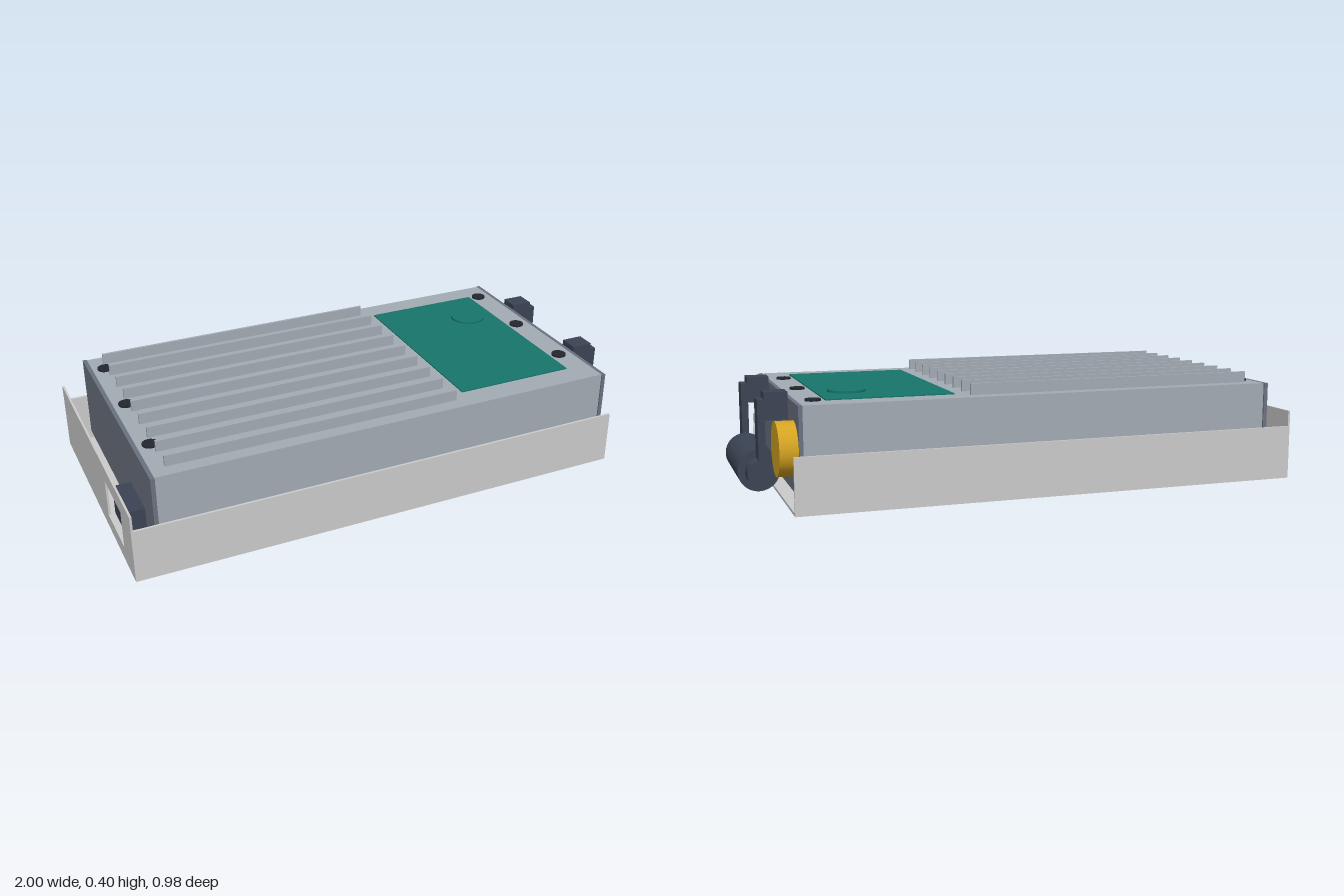
import * as THREE from 'three';

const mat = (color) => new THREE.MeshStandardMaterial({ color });

export function createModel() {
  const model = new THREE.Group();
  const trayMat = mat(0xcccccc), bodyMat = mat(0xa3abb4), plateMat = mat(0x6b7280);
  const darkMat = mat(0x3b4454), screwMat = mat(0x23272f);
  const greenMat = mat(0x17756b), goldMat = mat(0xd4a322);

  const add = (name, geometry, material, parent = model) => {
    const mesh = new THREE.Mesh(geometry, material);
    mesh.name = name;
    parent.add(mesh);
    return mesh;
  };
  // box given by its limits on each axis
  const box = (name, [x0, x1], [y0, y1], [z0, z1], material, parent) => {
    const m = add(name, new THREE.BoxGeometry(x1 - x0, y1 - y0, z1 - z0), material, parent);
    m.position.set((x0 + x1) / 2, (y0 + y1) / 2, (z0 + z1) / 2);
    return m;
  };
  // cylinder along a chosen axis
  const rod = (name, axis, r, length, [x, y, z], material, parent, sides = 40) => {
    const g = new THREE.CylinderGeometry(r, r, length, sides);
    if (axis === 'x') g.rotateZ(-Math.PI / 2);
    if (axis === 'z') g.rotateX(Math.PI / 2);
    const m = add(name, g, material, parent);
    m.position.set(x, y, z);
    return m;
  };

  // mounting tray, open at the handle end
  const tray = new THREE.Group();
  tray.name = 'tray';
  model.add(tray);
  box('trayFloor', [-1, 0.855], [0, 0.01], [-0.49, 0.49], trayMat, tray);
  for (const s of [-1, 1]) {
    const z = [s * 0.481, s * 0.49].sort((a, b) => a - b);
    box('traySide', [-0.992, 0.855], [0.01, 0.197], z, trayMat, tray);
  }

  // tray end wall with a connector window
  const wall = new THREE.Shape();
  wall.moveTo(-0.49, 0.01).lineTo(0.49, 0.01).lineTo(0.49, 0.255).lineTo(-0.49, 0.255).closePath();
  const hole = new THREE.Path();
  hole.moveTo(-0.36, 0.055).lineTo(-0.36, 0.195).lineTo(-0.15, 0.195).lineTo(-0.15, 0.055).closePath();
  wall.holes.push(hole);
  const wallGeo = new THREE.ExtrudeGeometry(wall, { depth: 0.008, bevelEnabled: false });
  wallGeo.rotateY(Math.PI / 2);
  add('trayEndWall', wallGeo, trayMat, tray).position.x = -1;

  // housing with its two end plates
  box('housing', [-0.9, 0.818], [0.05, 0.36], [-0.46, 0.46], bodyMat);
  box('endPlateRear', [-0.915, -0.9], [0.05, 0.36], [-0.465, 0.465], plateMat);
  box('endPlateFront', [0.818, 0.832], [0.05, 0.36], [-0.465, 0.465], plateMat);
  box('connector', [-0.98, -0.915], [0.07, 0.18], [0.17, 0.35], darkMat);

  // cooling fins above and below
  for (let i = -4; i <= 4; i++) {
    const z = i * 0.101;
    box('topFin', [-0.85, 0.228], [0.36, 0.4], [z - 0.005, z + 0.005], bodyMat);
    box('bottomFin', [-0.85, 0.228], [0.01, 0.05], [z - 0.005, z + 0.005], bodyMat);
  }

  // cover screws above and below
  for (const x of [-0.855, 0.765])
    for (const z of [-0.358, -0.053, 0.253])
      for (const y of [0.3635, 0.0465])
        rod('screw', 'y', 0.027, 0.007, [x, y, z], screwMat, model, 24);

  // coloured panel with a raised disc
  box('panel', [0.275, 0.725], [0.36, 0.364], [-0.37, 0.367], greenMat);
  rod('panelDisc', 'y', 0.067, 0.009, [0.615, 0.3675, -0.19], greenMat);

  // round port
  rod('port', 'x', 0.093, 0.063, [0.8635, 0.205, -0.367], goldMat, model, 48);

  // carrying handle
  const handle = new THREE.Group();
  handle.name = 'handle';
  model.add(handle);
  rod('grip', 'z', 0.073, 0.366, [0.926, 0.099, 0], darkMat, handle, 48);
  for (const s of [-1, 1]) {
    const z = [s * 0.183, s * 0.255].sort((a, b) => a - b);
    box('handleBlock', [0.832, 0.912], [0.285, 0.38], z, darkMat, handle);
    box('handleArm', [0.91, 0.935], [0.1, 0.356], z, darkMat, handle);
    rod('gripEnd', 'z', 0.048, 0.072, [0.926, 0.099, s * 0.219], darkMat, handle);
  }
  return model;
}
